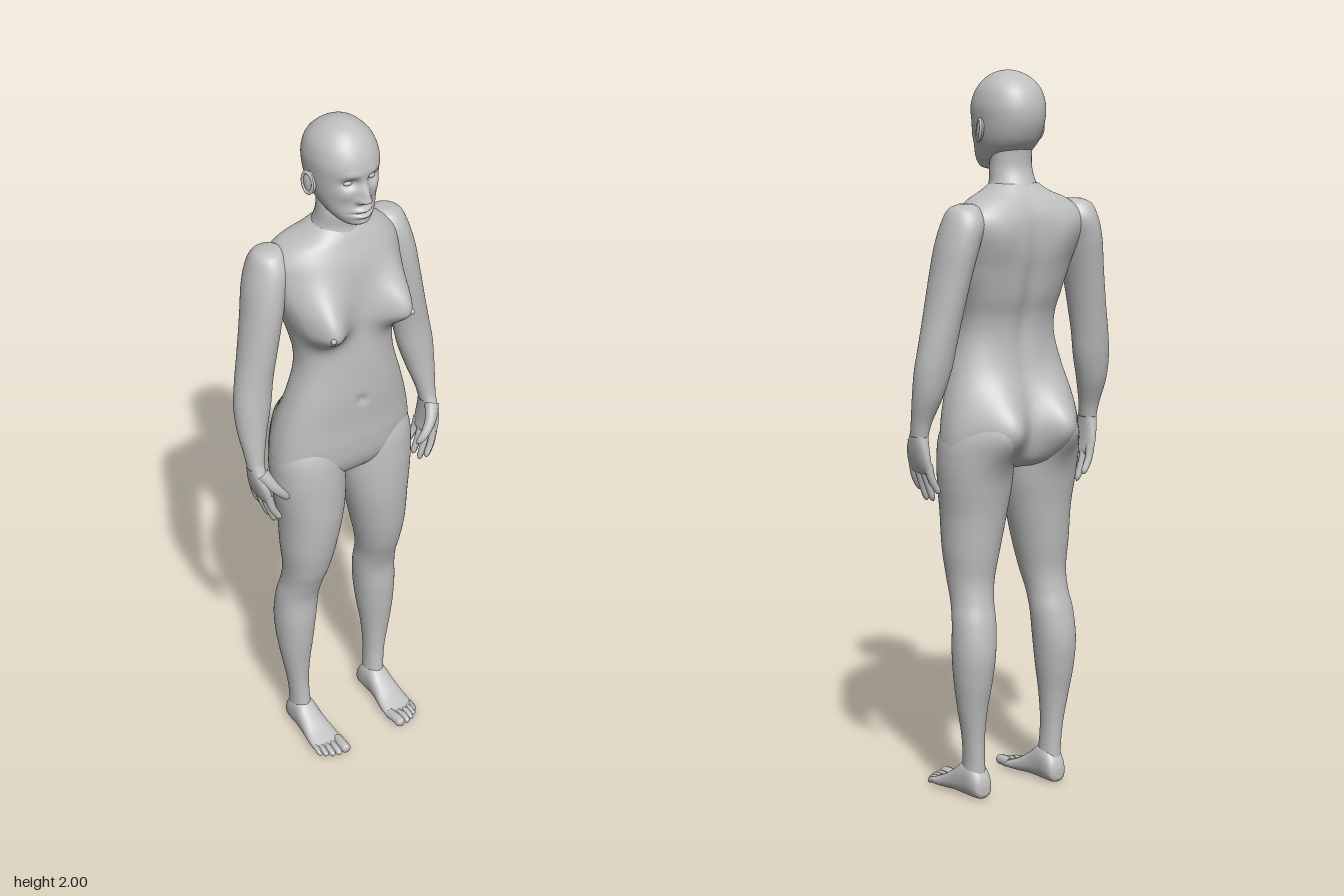
import * as THREE from 'three';

const skin = new THREE.MeshStandardMaterial({ color: 0xbfbfbf });
skin.name = 'plain grey';

// Bell curve with separate spreads above and below its centre
const bell = (v, c, up, down = up) => Math.exp(-(((v - c) / (v > c ? up : down)) ** 2));

// Smooth interpolation through rows of numbers
function sample(rows, t) {
  const f = t * (rows.length - 1), i = Math.min(Math.floor(f), rows.length - 2), u = f - i;
  const at = k => rows[Math.max(0, Math.min(rows.length - 1, k))];
  return rows[i].map((b, k) => {
    const a = at(i - 1)[k], c = at(i + 1)[k], d = at(i + 2)[k];
    return b + 0.5 * u * (c - a + u * (2 * a - 5 * b + 4 * c - d + u * (3 * (b - c) + d - a)));
  });
}

// Closed skin over horizontal slices: [y, centre x, half width, front z, back z], top to bottom
function loft(rows, { steps = 60, seg = 40, power = 2, deform } = {}) {
  const pos = [], index = [], v = new THREE.Vector3();
  const push = (x, y, z, s) => {
    v.set(x, y, z);
    if (deform) deform(v, s);
    pos.push(v.x, v.y, v.z);
  };
  const bend = c => Math.sign(c) * Math.abs(c) ** (2 / power);
  for (let i = 0; i <= steps; i++) {
    const [y, cx, rx, zf, zb] = sample(rows, i / steps);
    for (let j = 0; j < seg; j++) {
      const a = (j / seg) * Math.PI * 2, s = Math.sin(a);
      push(cx + rx * bend(Math.cos(a)), y, (zf + zb) / 2 + ((zf - zb) / 2) * bend(s), s);
      if (i < steps) {
        const p = i * seg + j, q = i * seg + ((j + 1) % seg);
        index.push(p, q, p + seg, q, q + seg, p + seg);
      }
    }
  }
  const top = pos.length / 3, last = steps * seg;
  for (const r of [rows[0], rows[rows.length - 1]]) push(r[1], r[0], (r[3] + r[4]) / 2, 0);
  for (let j = 0; j < seg; j++) {
    const k = (j + 1) % seg;
    index.push(top, k, j, top + 1, last + j, last + k);
  }
  const g = new THREE.BufferGeometry();
  g.setAttribute('position', new THREE.Float32BufferAttribute(pos, 3));
  g.setIndex(index);
  g.computeVertexNormals();
  return g;
}

// Tapered round-ended tube for fingers and toes
function digit(points, r0, r1) {
  const n = 20, m = 12, curve = new THREE.CatmullRomCurve3(points.map(p => new THREE.Vector3(...p)));
  const g = new THREE.TubeGeometry(curve, n, 1, m), p = g.attributes.position, v = new THREE.Vector3();
  for (let i = 0; i <= n; i++) {
    const u = i / n, c = curve.getPointAt(u);
    const r = (r0 + (r1 - r0) * u) * Math.sqrt(Math.max(0, 1 - Math.max(0, (u - 0.82) / 0.18) ** 2));
    for (let j = 0; j <= m; j++) {
      const k = i * (m + 1) + j;
      v.fromBufferAttribute(p, k).sub(c).multiplyScalar(r).add(c);
      p.setXYZ(k, v.x, v.y, v.z);
    }
  }
  g.computeVertexNormals();
  return g;
}

const ball = (x, y, z, a, b, c) => new THREE.SphereGeometry(1, 24, 16).scale(a, b, c).translate(x, y, z);

function mirrored(geo) {
  const g = geo.clone().scale(-1, 1, 1), ix = g.index;
  for (let i = 0; i < ix.count; i += 3) {
    const b = ix.getX(i + 1);
    ix.setX(i + 1, ix.getX(i + 2));
    ix.setX(i + 2, b);
  }
  return g;
}

// Seat fullness, shared by the torso and the thighs so they blend
function seat(v, s) {
  if (s < 0) v.z -= 0.07 * Math.sqrt(-s) * bell(Math.abs(v.x), 0.092, 0.075, 0.06) * bell(v.y, 1.04, 0.1, 0.085);
}

function shapeTorso(v, s) {
  const ax = Math.abs(v.x), { y } = v;
  seat(v, s);
  v.z -= 0.03 * (ax / 0.2) ** 2 * THREE.MathUtils.smoothstep(y, 1.48, 1.6);
  if (s > 0) {
    const chest = Math.min(1, s * 2.5) * bell(ax, 0.112, 0.052, 0.06) * bell(y, 1.45, 0.095, 0.052);
    v.z += 0.08 * chest - 0.01 * bell(v.x, 0, 0.012) * bell(y, 1.19, 0.014);
    v.x += Math.sign(v.x) * 0.008 * chest;
  } else {
    v.z += 0.012 * bell(v.x, 0, 0.025) * bell(y, 1.37, 0.2);
    v.z -= 0.006 * bell(ax, 0.1, 0.04) * bell(y, 1.56, 0.06);
  }
}

function shapeFace(v, s) {
  if (s <= 0) return;
  const ax = Math.abs(v.x), { x, y } = v, w = Math.min(1, s * 2);
  v.z += w * (
    0.03 * bell(x, 0, 0.014) * bell(y, 1.814, 0.04, 0.011)
    + 0.01 * bell(ax, 0.014, 0.008) * bell(y, 1.812, 0.01)
    - 0.016 * bell(ax, 0.034, 0.022) * bell(y, 1.862, 0.014)
    + 0.004 * bell(ax, 0.032, 0.025) * bell(y, 1.888, 0.012)
    + 0.005 * bell(ax, 0.048, 0.02) * bell(y, 1.83, 0.018)
    + 0.012 * bell(x, 0, 0.024) * (bell(y, 1.782, 0.007) + bell(y, 1.766, 0.007))
    - 0.006 * bell(x, 0, 0.028) * bell(y, 1.774, 0.003)
    + 0.006 * bell(x, 0, 0.025) * bell(y, 1.745, 0.01));
}

export function createModel() {
  const model = new THREE.Group();
  model.name = 'standingFigure';
  const add = (name, geo) => {
    const m = new THREE.Mesh(geo, skin);
    m.name = name;
    model.add(m);
  };
  const pair = (name, geo) => {
    add('left' + name, geo);
    add('right' + name, mirrored(geo));
  };

  // Head and neck
  add('head', loft([
    [2, 0, 0.004, 0, -0.01], [1.995, 0, 0.028, 0.028, -0.035], [1.98, 0, 0.055, 0.058, -0.068],
    [1.95, 0, 0.08, 0.086, -0.098], [1.91, 0, 0.091, 0.104, -0.113], [1.87, 0, 0.09, 0.105, -0.113],
    [1.83, 0, 0.085, 0.101, -0.1], [1.8, 0, 0.077, 0.1, -0.08], [1.77, 0, 0.064, 0.103, -0.045],
    [1.75, 0, 0.049, 0.101, -0.01], [1.738, 0, 0.034, 0.094, 0.02], [1.732, 0, 0.015, 0.08, 0.04],
  ], { steps: 140, seg: 112, power: 2.2, deform: shapeFace }));
  add('neck', loft([
    [1.85, 0, 0.05, 0.02, -0.08], [1.79, 0, 0.057, 0.03, -0.07], [1.74, 0, 0.06, 0.04, -0.07],
    [1.7, 0, 0.066, 0.038, -0.085], [1.67, 0, 0.085, 0.042, -0.1], [1.64, 0, 0.1, 0.04, -0.11],
  ]));
  pair('Eye', ball(0.034, 1.861, 0.076, 0.016, 0.009, 0.013));
  pair('Ear', ball(0, 0, 0, 0.009, 0.032, 0.019).rotateY(-0.35).rotateX(-0.15).translate(0.093, 1.842, -0.005));
  pair('EarRim', new THREE.TorusGeometry(0.019, 0.004, 8, 28).scale(0.85, 1.5, 1)
    .rotateY(Math.PI / 2 - 0.35).rotateX(-0.15).translate(0.099, 1.842, -0.007));

  // Torso
  add('torso', loft([
    [1.7, 0, 0.064, 0.03, -0.083], [1.677, 0, 0.1, 0.045, -0.1], [1.655, 0, 0.15, 0.055, -0.115],
    [1.62, 0, 0.188, 0.07, -0.13], [1.58, 0, 0.198, 0.08, -0.135], [1.52, 0, 0.188, 0.086, -0.132],
    [1.46, 0, 0.172, 0.09, -0.12], [1.4, 0, 0.154, 0.092, -0.106], [1.34, 0, 0.143, 0.097, -0.087],
    [1.28, 0, 0.147, 0.101, -0.08], [1.2, 0, 0.171, 0.103, -0.085], [1.12, 0, 0.195, 0.1, -0.1],
    [1.05, 0, 0.209, 0.1, -0.112], [0.99, 0, 0.212, 0.094, -0.108], [0.95, 0, 0.195, 0.075, -0.095],
    [0.93, 0, 0.15, 0.045, -0.07], [0.922, 0, 0.06, 0.01, -0.03],
  ], { steps: 150, seg: 112, power: 2.35, deform: shapeTorso }));
  pair('Nipple', ball(0.125, 1.45, 0.148, 0.008, 0.008, 0.007));

  // Legs
  pair('Leg', loft([
    [1.08, 0.11, 0.07, 0.07, -0.08], [1.02, 0.11, 0.1, 0.092, -0.1], [0.95, 0.111, 0.104, 0.1, -0.104],
    [0.88, 0.109, 0.101, 0.102, -0.098], [0.8, 0.11, 0.09, 0.101, -0.086], [0.7, 0.118, 0.077, 0.09, -0.075],
    [0.62, 0.123, 0.064, 0.072, -0.066], [0.56, 0.128, 0.058, 0.05, -0.073], [0.5, 0.133, 0.06, 0.033, -0.088],
    [0.42, 0.138, 0.058, 0.031, -0.098], [0.34, 0.14, 0.051, 0.025, -0.09], [0.26, 0.14, 0.04, 0.016, -0.074],
    [0.18, 0.136, 0.03, 0.01, -0.063], [0.11, 0.132, 0.027, 0.013, -0.06], [0.05, 0.13, 0.03, 0.02, -0.06],
  ], { steps: 110, seg: 56, power: 2.1, deform: seat }));

  // Feet: slices run from heel to toes, then height and length swap
  pair('Foot', loft([
    [-0.072, 0.128, 0.012, 0.045, 0.018], [-0.064, 0.128, 0.026, 0.07, 0.007], [-0.04, 0.129, 0.033, 0.1, 0.004],
    [0, 0.13, 0.035, 0.105, 0.004], [0.04, 0.13, 0.039, 0.076, 0.006], [0.08, 0.129, 0.045, 0.05, 0.005],
    [0.115, 0.129, 0.047, 0.034, 0.005], [0.135, 0.126, 0.04, 0.026, 0.007],
  ], { steps: 50, power: 2.4, deform: v => v.set(v.x, v.z, v.y) }));
  [[0.098, 0.177, 0.015], [0.122, 0.175, 0.0095], [0.14, 0.168, 0.009], [0.156, 0.157, 0.0085], [0.169, 0.144, 0.008]]
    .forEach(([x, z, r], i) => pair('Toe' + (i + 1),
      digit([[x - 0.003, 0.02, z - 0.06], [x, 0.022, z - 0.025], [x, 0.004 + r, z]], r, r)));

  // Arms
  pair('Arm', loft([
    [1.652, 0.18, 0.02, -0.04, -0.08], [1.638, 0.186, 0.042, -0.015, -0.108], [1.6, 0.19, 0.055, 0.006, -0.128],
    [1.54, 0.206, 0.055, 0.016, -0.127], [1.46, 0.222, 0.052, 0.02, -0.115], [1.36, 0.241, 0.051, 0.018, -0.1],
    [1.28, 0.256, 0.052, 0.015, -0.088], [1.21, 0.267, 0.052, 0.018, -0.077], [1.14, 0.277, 0.042, 0.023, -0.06],
    [1.07, 0.284, 0.028, 0.031, -0.03], [1.03, 0.286, 0.022, 0.038, -0.02],
  ], { steps: 90, seg: 48 }));

  // Hands
  pair('Palm', loft([
    [1.06, 0.285, 0.021, 0.03, -0.018], [1.03, 0.286, 0.021, 0.041, -0.02], [0.995, 0.284, 0.019, 0.06, -0.026],
    [0.96, 0.279, 0.016, 0.066, -0.03], [0.935, 0.273, 0.013, 0.062, -0.028], [0.925, 0.27, 0.006, 0.05, -0.02],
  ], { steps: 36, power: 2.4 }));
  [[0.054, 0.064, 0.872], [0.03, 0.034, 0.846], [0.005, 0.004, 0.848], [-0.018, -0.025, 0.872]]
    .forEach(([z0, z1, tip], i) => pair('Finger' + (i + 1),
      digit([[0.276, 0.955, z0], [0.267, 0.915, (z0 + z1) / 2], [0.244, tip, z1]], 0.0125, 0.0085)));
  pair('Thumb', digit([[0.284, 1.025, 0.035], [0.262, 0.985, 0.058], [0.236, 0.953, 0.066], [0.214, 0.928, 0.062]], 0.02, 0.009));

  return model;
}
